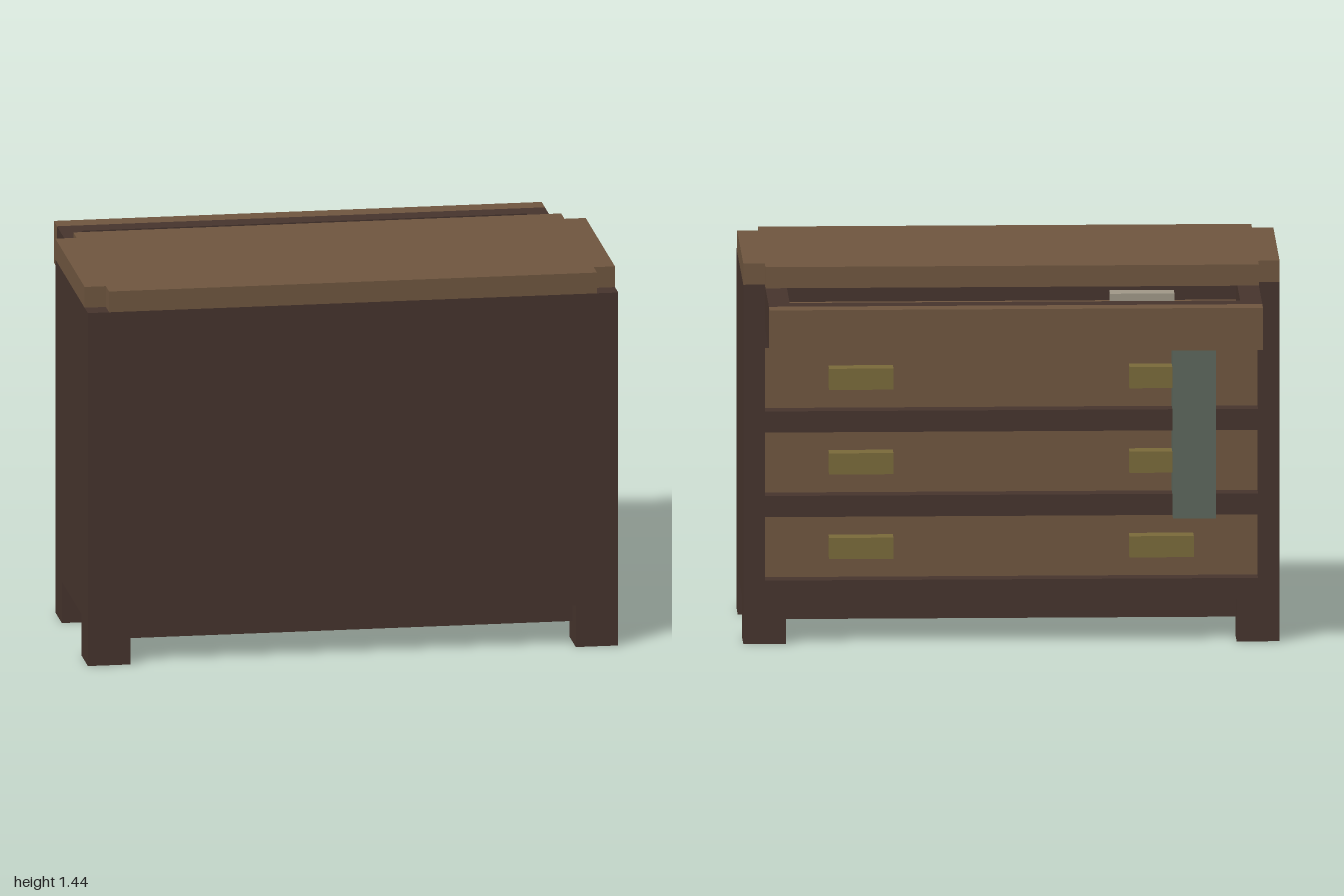
import * as THREE from 'three';

const mat = (name, color) => Object.assign(new THREE.MeshStandardMaterial({ color }), { name });

export function createModel() {
  const dark = mat('dark wood', 0x46342d);
  const wood = mat('light wood', 0x6f563f);
  const paper = mat('paper', 0xa09888);
  const green = mat('grey green', 0x5c675c);
  const brass = mat('brass', 0x7a6a3a);
  const model = new THREE.Group();
  model.name = 'chestOfDrawers';

  // Box given by its limits on each axis
  const box = (name, m, [x0, x1], [y0, y1], [z0, z1], parent = model) => {
    const mesh = new THREE.Mesh(new THREE.BoxGeometry(x1 - x0, y1 - y0, z1 - z0), m);
    mesh.position.set((x0 + x1) / 2, (y0 + y1) / 2, (z0 + z1) / 2);
    mesh.name = name;
    parent.add(mesh);
    return mesh;
  };
  const mirrored = (name, m, [x0, x1], y, z, parent = model) => {
    box(name, m, [x0, x1], y, z, parent);
    box(name, m, [-x1, -x0], y, z, parent);
  };

  // Carcass, recessed plinth and legs
  box('carcass', dark, [-1, 1], [0.16, 1.36], [-0.04, 0.68]);
  box('plinth', dark, [-0.92, 0.92], [0.08, 0.16], [-0.04, 0.6]);
  mirrored('frontLeg', dark, [0.84, 1], [0, 0.16], [0.52, 0.68]);
  mirrored('backLeg', dark, [0.84, 1], [0, 0.16], [-0.12, 0.04]);

  // Frame around the drawers
  mirrored('drawerPost', dark, [0.92, 1], [0.16, 1.36], [-0.12, -0.04]);
  for (const y of [0.16, 0.48, 0.8, 1.12]) {
    box('drawerRail', dark, [-0.92, 0.92], [y, y + 0.08], [-0.12, -0.04]);
  }

  // Closed drawers with two pulls each
  for (const y of [0.24, 0.56, 0.88]) {
    box('drawerFront', wood, [-0.92, 0.92], [y, y + 0.24], [-0.045, -0.02]);
    mirrored('drawerPull', brass, [0.44, 0.68], [y + 0.08, y + 0.16], [-0.12, -0.04]);
  }

  // Top slab with notched corners, overhanging the drawers
  const half = [[0.92, -0.2], [0.92, -0.12], [1, -0.12], [1, 0.6], [0.92, 0.6], [0.92, 0.68]];
  const outline = [...half, ...half.map(([x, z]) => [-x, z]).reverse()];
  const topShape = new THREE.Shape(outline.map(([x, z]) => new THREE.Vector2(x, -z)));
  const top = new THREE.Mesh(
    new THREE.ExtrudeGeometry(topShape, { depth: 0.08, bevelEnabled: false }).rotateX(-Math.PI / 2), wood);
  top.position.y = 1.36;
  top.name = 'topSlab';
  model.add(top);

  // Open drawer
  const drawer = new THREE.Group();
  drawer.name = 'openDrawer';
  model.add(drawer);
  mirrored('openDrawerSide', dark, [0.84, 0.92], [1.2, 1.36], [-0.6, -0.04], drawer);
  box('openDrawerInnerWall', dark, [-0.84, 0.84], [1.2, 1.36], [-0.6, -0.52], drawer);
  box('openDrawerFront', wood, [-0.92, 0.92], [1.2, 1.36], [-0.68, -0.6], drawer);
  box('openDrawerFloor', wood, [-0.84, 0.84], [1.2, 1.28], [-0.52, -0.04], drawer);

  // Sheets rounded at one end, seen on both faces of the floor
  const sheet = (x0, x1, zStraight, zRound) => {
    const r = 0.035, a = -zStraight, b = -zRound, d = Math.sign(b - a) * r;
    const s = new THREE.Shape();
    s.moveTo(x0, a);
    s.lineTo(x1, a);
    s.lineTo(x1, b - d);
    s.quadraticCurveTo(x1, b, x1 - r, b);
    s.lineTo(x0 + r, b);
    s.quadraticCurveTo(x0, b, x0, b - d);
    const geo = new THREE.ExtrudeGeometry(s, { depth: 0.004, bevelEnabled: false }).rotateX(-Math.PI / 2);
    for (const y of [1.28, 1.196]) {
      const mesh = new THREE.Mesh(geo, paper);
      mesh.position.y = y;
      mesh.name = 'paperSheet';
      drawer.add(mesh);
    }
  };
  sheet(-0.76, -0.2, -0.16, -0.44);
  sheet(0.12, 0.44, -0.52, -0.28);
  box('smallBox', paper, [-0.6, -0.36], [1.28, 1.36], [-0.36, -0.28], drawer);

  // Cloth hanging over the drawer fronts
  box('hangingCloth', green, [-0.76, -0.6], [0.48, 1.12], [-0.2, -0.04]);
  return model;
}
